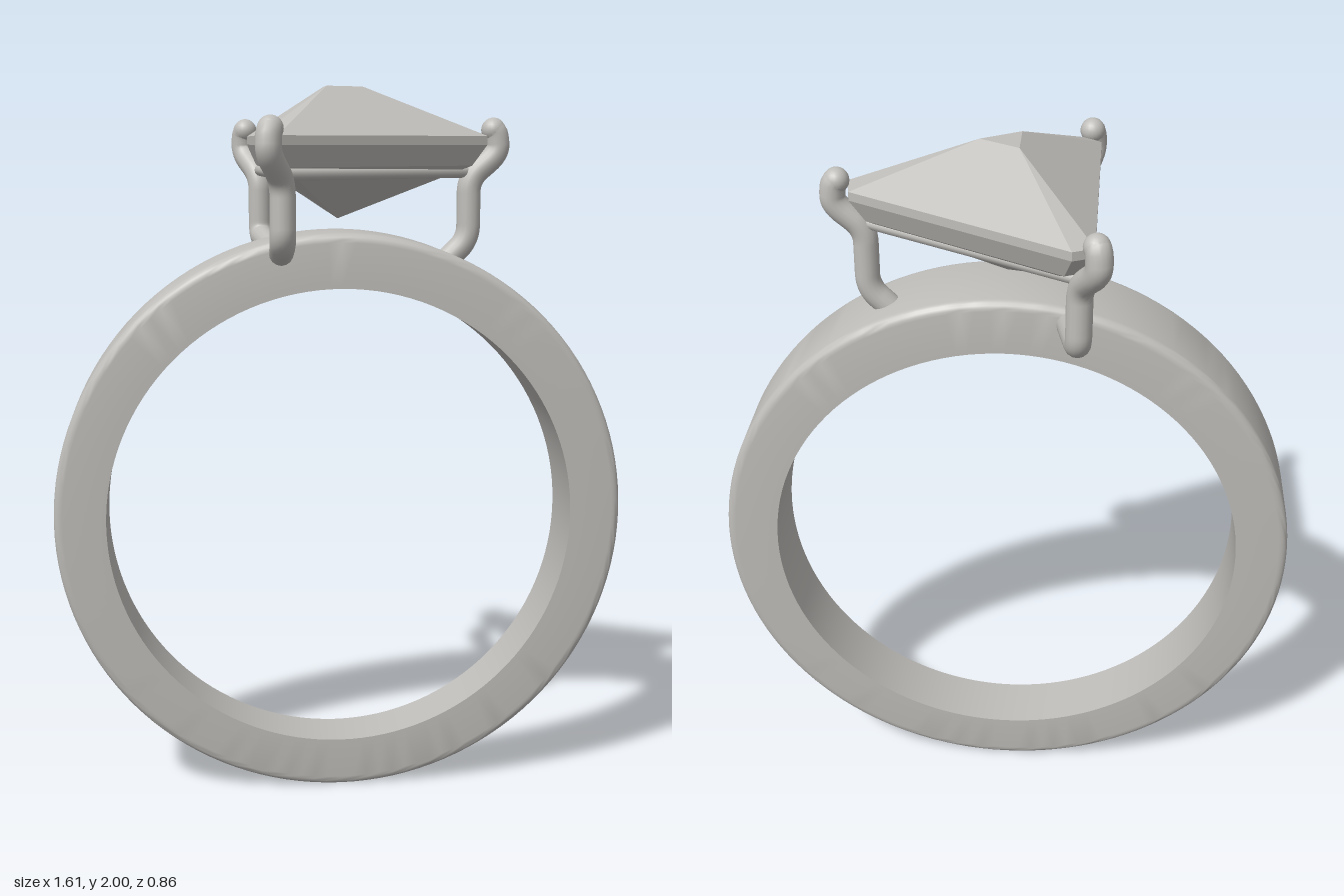
import * as THREE from 'three';
import { toCreasedNormals } from 'three/addons/utils/BufferGeometryUtils.js';

const V = (x, y, z) => new THREE.Vector3(x, y, z);
const lerp = THREE.MathUtils.lerp;

// Skin a list of closed loops; collapsed triangles are dropped.
function loft(loops, crease, wrap = false) {
  const n = loops[0].length, m = loops.length, index = [];
  const pts = loops.flat();
  const tri = (a, b, c) => {
    const [p, q, r] = [pts[a], pts[b], pts[c]];
    if (Math.min(p.distanceTo(q), q.distanceTo(r), r.distanceTo(p)) > 1e-6) index.push(a, b, c);
  };
  for (let j = 0; j < (wrap ? m : m - 1); j++) {
    const k = (j + 1) % m;
    for (let i = 0; i < n; i++) {
      const h = (i + 1) % n;
      tri(j * n + i, j * n + h, k * n + h);
      tri(j * n + i, k * n + h, k * n + i);
    }
  }
  const g = new THREE.BufferGeometry().setFromPoints(pts);
  g.setIndex(index);
  return toCreasedNormals(g, crease);
}

// Band: tapering width, softly rounded outer edges, slightly offset bore.
function bandGeometry() {
  const section = [[0, -1], [0.03, -1]];     // [fraction inner to outer, side]
  const corner = [];
  for (let k = 0; k <= 5; k++) {
    const a = (k / 5) * Math.PI / 2;
    corner.push([0.83 + 0.17 * Math.sin(a), -(0.82 + 0.18 * Math.cos(a))]);
  }
  section.push(...corner, ...corner.map(([f, s]) => [f, -s]).reverse(), [0.03, 1], [0, 1]);
  const loops = section.map(([f, s]) => {
    const loop = [];
    for (let i = 0; i < 128; i++) {
      const a = (i / 128) * Math.PI * 2;
      const radius = lerp(0.658, 0.803, f);
      const y = lerp(0.797, 0.803, f) + radius * Math.sin(a);
      loop.push(V(radius * Math.cos(a), y, -0.006 + s * lerp(0.081, 0.138, y / 1.606)));
    }
    return loop;
  });
  return loft(loops, 0.7, true);
}

// Triangular stone with clipped corners, from culet up to the table.
function stoneGeometry() {
  const girdle = [[0.416, 0.02], [0.405, -0.06], [-0.18, -0.385],
    [-0.235, -0.36], [-0.235, 0.335], [-0.19, 0.37]];
  const table = [[0.07, -0.013], [-0.035, -0.07], [-0.035, 0.047]];
  const level = (y, s) => girdle.map(([x, z]) => V(x * s, y, -0.012 + (z + 0.012) * s));
  return loft([
    level(1.64, 0), level(1.785, 0.9), level(1.842, 1), level(1.866, 1),
    girdle.map((_, i) => V(table[i >> 1][0], 2, table[i >> 1][1])),
    girdle.map(() => V(0, 2, -0.012)),
  ], 0.01);
}

// Polyline with rounded bends.
function bentPath(points, bend) {
  const path = new THREE.CurvePath();
  let from = points[0];
  for (let i = 1; i < points.length - 1; i++) {
    const p = points[i];
    const cut = (q) => p.clone().add(q.clone().sub(p).setLength(Math.min(bend, p.distanceTo(q) * 0.45)));
    const a = cut(points[i - 1]), b = cut(points[i + 1]);
    path.add(new THREE.LineCurve3(from, a));
    path.add(new THREE.QuadraticBezierCurve3(a, p, b));
    from = b;
  }
  path.add(new THREE.LineCurve3(from, points[points.length - 1]));
  return path;
}

export function createModel() {
  const model = new THREE.Group();
  const metal = new THREE.MeshStandardMaterial({ color: 0xc0beba });
  metal.name = 'pale grey';
  const add = (name, geometry, parent = model) => {
    const mesh = new THREE.Mesh(geometry, metal);
    mesh.name = name;
    parent.add(mesh);
    return mesh;
  };

  add('band', bandGeometry());
  add('stone', stoneGeometry());

  // Prongs: foot in the band, elbow, post, shoulder, and a tip leaning over the stone.
  const prongs = [
    ['leftProng', V(0.29, 1.50, -0.02), V(0.372, 1.58, -0.02), V(0.372, 1.75, -0.02),
      V(0.455, 1.82, -0.024), V(0.45, 1.872, -0.024), V(0.44, 1.883, -0.024)],
    ['rightBackProng', V(-0.165, 1.54, -0.10), V(-0.20, 1.578, -0.325), V(-0.20, 1.75, -0.325),
      V(-0.247, 1.82, -0.402), V(-0.245, 1.872, -0.398), V(-0.239, 1.883, -0.388)],
    ['rightFrontProng', V(-0.165, 1.545, 0.08), V(-0.175, 1.587, 0.32), V(-0.175, 1.75, 0.32),
      V(-0.216, 1.82, 0.396), V(-0.214, 1.872, 0.391), V(-0.209, 1.883, 0.381)],
  ];
  const R = 0.034;
  for (const [name, ...points] of prongs) {
    const prong = new THREE.Group();
    prong.name = name;
    model.add(prong);
    add('prongWire', new THREE.TubeGeometry(bentPath(points, 0.04), 64, R, 16), prong);
    add('prongTip', new THREE.SphereGeometry(R, 20, 14), prong).position.copy(points[5]);
    add('prongFoot', new THREE.SphereGeometry(R, 20, 14), prong).position.copy(points[0]);
  }

  // Thin rails joining the posts under the stone.
  prongs.forEach((prong, i) => {
    const a = prong[3].clone(), b = prongs[(i + 1) % 3][3].clone();
    a.y = b.y = 1.768;
    add('rail', new THREE.TubeGeometry(new THREE.LineCurve3(a, b), 1, 0.017, 12));
  });

  return model;
}
